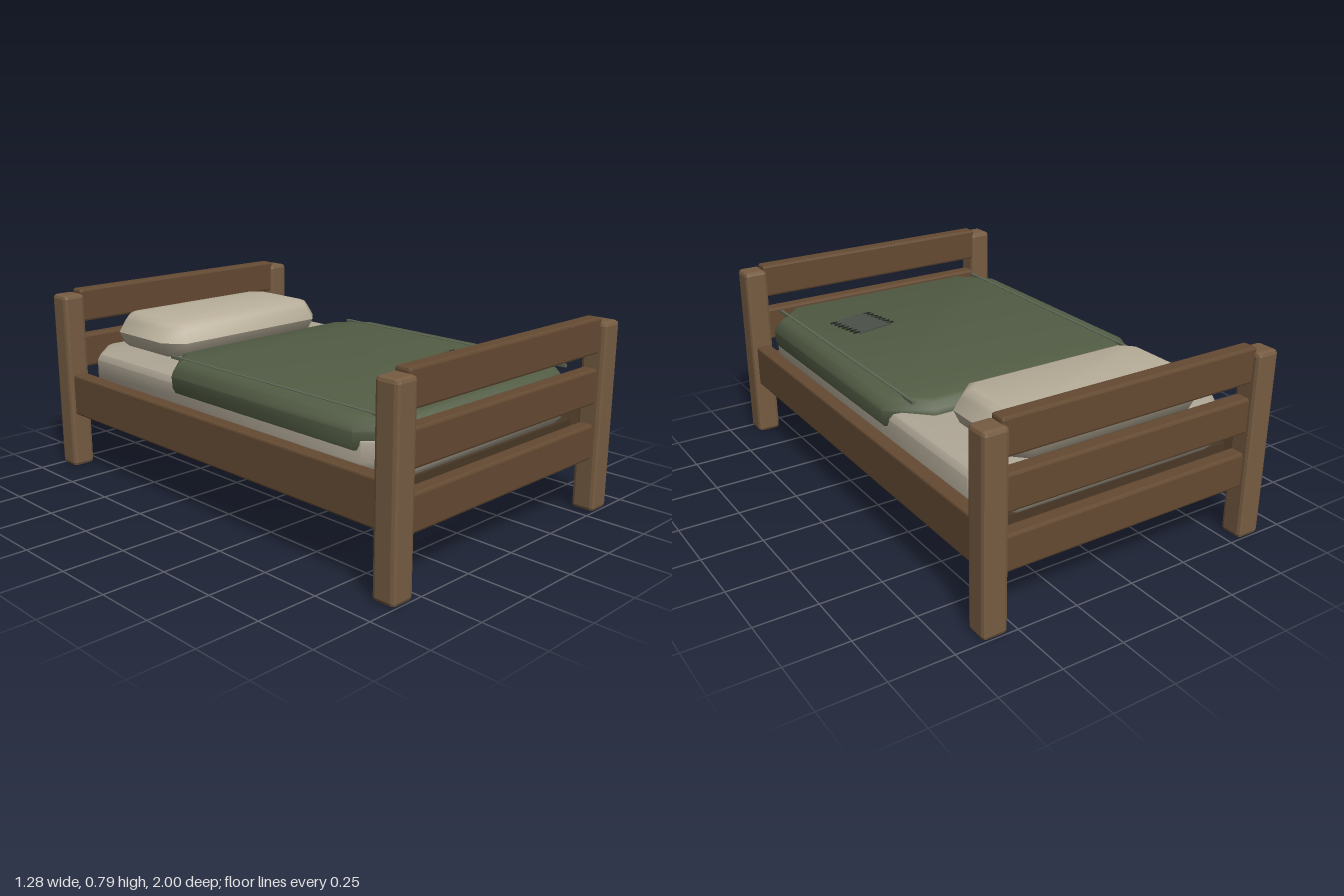
import * as THREE from 'three';
import { toCreasedNormals } from 'three/addons/utils/BufferGeometryUtils.js';
import { RoundedBoxGeometry } from 'three/addons/geometries/RoundedBoxGeometry.js';

const paint = (color) => new THREE.MeshStandardMaterial({ color });
const postWood = paint(0x765c42), railWood = paint(0x644a32), slatWood = paint(0x4a3826);
const linen = paint(0xb0a796), pillowCloth = paint(0xbab09c);
const blanketCloth = paint(0x535d45), seamCloth = paint(0x5f6654);
const patchCloth = paint(0x4b5148), thread = paint(0x23261f);

function add(parent, name, geometry, material, x, y, z) {
  const mesh = new THREE.Mesh(geometry, material);
  mesh.name = name;
  mesh.position.set(x, y, z);
  parent.add(mesh);
  return mesh;
}

// Box with chamfered edges and flat facets
function chamferBox(w, h, d, bevel) {
  const g = new RoundedBoxGeometry(w, h, d, 1, bevel);
  g.computeVertexNormals();
  return g;
}

// Stack of corner-cut rectangles; rings are [y, inset], listed bottom to top
function cushion(halfX, z0, z1, cut, rings) {
  const pos = [], index = [];
  for (const [y, inset] of rings) {
    const x = halfX - inset, a = z0 + inset, b = z1 - inset;
    const c = cut - inset * 0.586;
    const outline = [[x, a + c], [x - c, a], [c - x, a], [-x, a + c],
      [-x, b - c], [c - x, b], [x - c, b], [x, b - c]];
    for (const [px, pz] of outline) pos.push(px, y, pz);
  }
  const top = (rings.length - 1) * 8;
  for (let r = 0; r < top; r += 8) {
    for (let i = 0; i < 8; i++) {
      const j = (i + 1) % 8;
      index.push(r + i, r + j, r + 8 + j, r + i, r + 8 + j, r + 8 + i);
    }
  }
  for (let i = 1; i < 7; i++) {
    index.push(top, top + i, top + i + 1, 0, i + 1, i);
  }
  // Every outline runs counter-clockwise seen from above
  const g = new THREE.BufferGeometry();
  g.setAttribute('position', new THREE.Float32BufferAttribute(pos, 3));
  g.setIndex(index);
  return toCreasedNormals(g, 0.85);
}

export function createModel() {
  const bed = new THREE.Group();
  bed.name = 'bed';

  // Corner posts, and three rails across each end
  for (const sz of [-1, 1]) {
    const end = new THREE.Group();
    end.name = sz > 0 ? 'footboard' : 'headboard';
    bed.add(end);
    for (const sx of [-1, 1]) {
      add(end, sx > 0 ? 'leftPost' : 'rightPost',
        chamferBox(0.1, 0.77, 0.1, 0.016), postWood, sx * 0.59, 0.385, sz * 0.95);
    }
    [0.29, 0.515, 0.717].forEach((y, i) => {
      add(end, 'endRail' + (i + 1), chamferBox(1.11, 0.143, 0.065, 0.01),
        railWood, 0, y, sz * 0.941);
    });
  }

  // Long side rails
  for (const sx of [-1, 1]) {
    add(bed, sx > 0 ? 'leftSideRail' : 'rightSideRail',
      chamferBox(0.065, 0.18, 1.84, 0.008), railWood, sx * 0.585, 0.33, 0);
  }

  // Slats under the mattress
  const slats = new THREE.Group();
  slats.name = 'slats';
  bed.add(slats);
  for (let i = 0; i < 9; i++) {
    add(slats, 'slat', new THREE.BoxGeometry(1.11, 0.035, 0.13), slatWood,
      0, 0.342, -0.8 + i * 0.2);
  }

  // Bedding
  add(bed, 'mattress', cushion(0.565, -0.91, 0.9, 0.125,
    [[0.37, 0.03], [0.395, 0.008], [0.43, 0], [0.5, 0], [0.525, 0.012], [0.535, 0.035]]),
  linen, 0, 0, 0);
  add(bed, 'pillow', cushion(0.435, -0.88, -0.415, 0.075,
    [[0.533, 0.04], [0.55, 0.022], [0.6, 0], [0.648, 0.025], [0.67, 0.04], [0.68, 0.065]]),
  pillowCloth, 0, 0, 0);
  add(bed, 'blanket', cushion(0.585, -0.375, 0.9, 0.145,
    [[0.468, 0.012], [0.49, 0.003], [0.535, 0], [0.555, 0.006], [0.58, 0.024], [0.588, 0.042]]),
  blanketCloth, 0, 0, 0);
  for (const sx of [-1, 1]) {
    add(bed, 'blanketSeam', new THREE.BoxGeometry(0.012, 0.012, 1.19), seamCloth,
      sx * 0.505, 0.585, 0.265);
  }

  // Sewn patch with stitches down both sides
  const patch = new THREE.Group();
  patch.name = 'patch';
  patch.position.set(0.28, 0.59, 0.51);
  patch.rotation.y = 0.19;
  bed.add(patch);
  add(patch, 'patchCloth', new THREE.BoxGeometry(0.17, 0.008, 0.19), patchCloth, 0, 0, 0);
  for (const sx of [-1, 1]) {
    for (let i = 0; i < 7; i++) {
      const stitch = add(patch, 'stitch', new THREE.BoxGeometry(0.032, 0.006, 0.006),
        thread, sx * 0.09, 0.003, -0.08 + i * 0.0265);
      stitch.rotation.y = -0.19;
    }
  }
  return bed;
}
